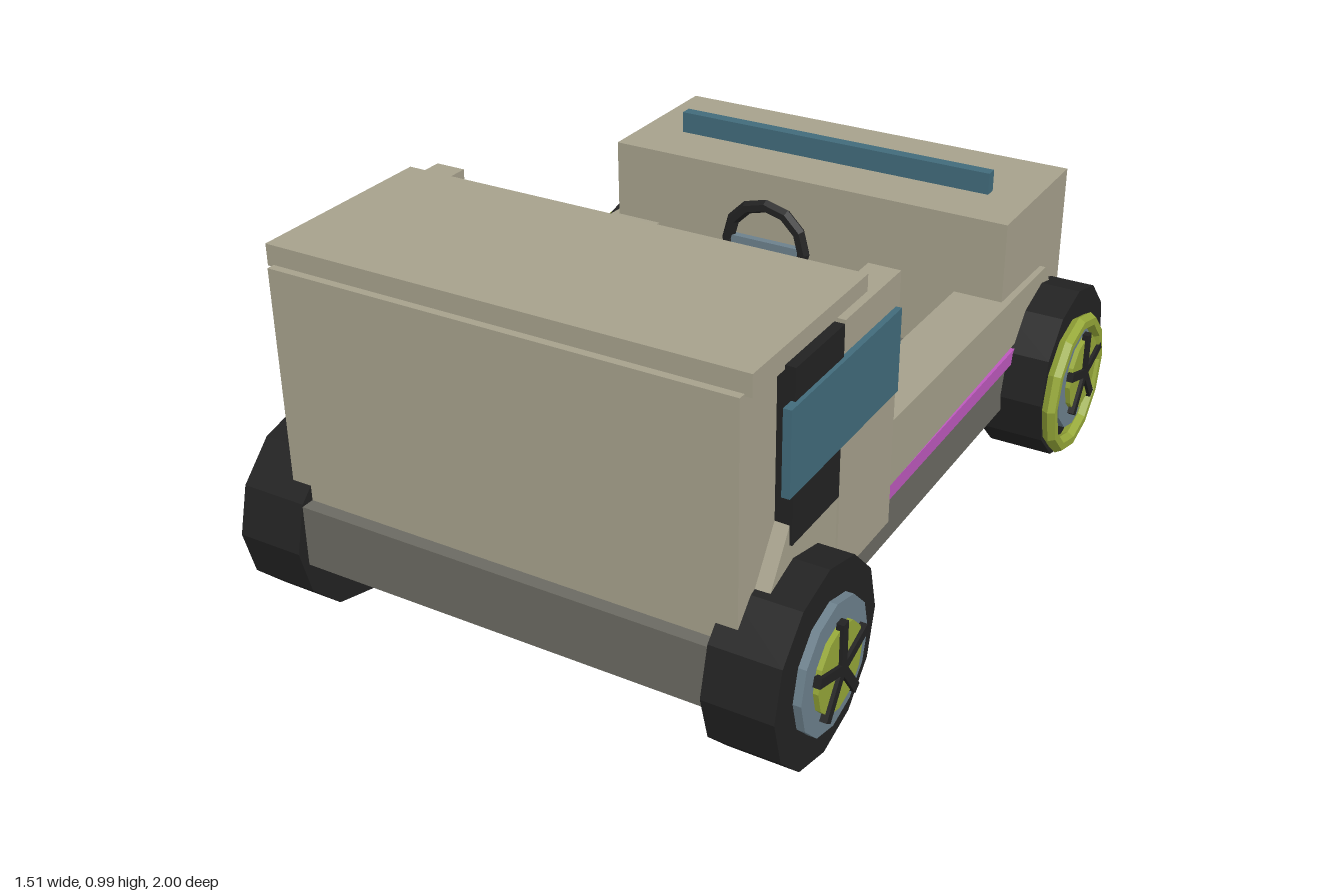
import * as THREE from 'three';

const material = (name, color) => {
  const m = new THREE.MeshStandardMaterial({ color });
  m.name = name;
  return m;
};

export function createModel() {
  const paint = material('beige paint', 0xa6a18c);
  const frame = material('chassis grey', 0x6b6a62);
  const black = material('black rubber', 0x222222);
  const glass = material('blue glass', 0x416b7b);
  const steel = material('blue grey steel', 0x6c808c);
  const lime = material('lime trim', 0x95a738);
  const magenta = material('magenta trim', 0xbd59bd);

  const model = new THREE.Group();
  model.name = 'offRoadCar';

  const add = (name, geometry, mat, parent = model) => {
    // split the faces so that every facet is flat
    const flat = geometry.index ? geometry.toNonIndexed() : geometry;
    flat.computeVertexNormals();
    const mesh = new THREE.Mesh(flat, mat);
    mesh.name = name;
    parent.add(mesh);
    return mesh;
  };
  // box given by its limits on each axis
  const box = (name, mat, [x0, x1], [y0, y1], [z0, z1], parent = model) => {
    const mesh = add(name, new THREE.BoxGeometry(x1 - x0, y1 - y0, z1 - z0), mat, parent);
    mesh.position.set((x0 + x1) / 2, (y0 + y1) / 2, (z0 + z1) / 2);
    return mesh;
  };
  const sideBox = (name, mat, side, [x0, x1], y, z) =>
    box(name, mat, side > 0 ? [x0, x1] : [-x1, -x0], y, z);

  // chassis, tall front body with roof, low rear body
  box('chassis', frame, [-0.6, 0.6], [0.2, 0.36], [-0.97, 0.97]);
  box('frontBody', paint, [-0.593, 0.593], [0.36, 0.945], [0.41, 0.935]);
  box('roof', paint, [-0.61, 0.61], [0.94, 0.993], [0.4, 0.915]);
  box('rearBody', paint, [-0.59, 0.59], [0.36, 0.755], [-0.94, -0.497]);
  box('topBar', glass, [-0.47, 0.47], [0.755, 0.815], [-0.693, -0.66]);

  // grille with bars, on the rear body
  box('grille', black, [-0.285, 0.285], [0.385, 0.525], [-0.972, -0.935]);
  for (let i = -2; i <= 2; i++) {
    box('grilleBar', steel, [i * 0.1 - 0.011, i * 0.1 + 0.011], [0.395, 0.512], [-0.985, -0.965]);
  }

  // sloping side rail profile, drawn as z against y
  const railShape = new THREE.Shape([
    [0.87, 0.385], [0.87, 0.45], [0.78, 0.58], [-0.78, 0.525], [-0.86, 0.415], [-0.86, 0.385],
  ].map(([z, y]) => new THREE.Vector2(z, y)));

  for (const side of [-1, 1]) {
    const railGeometry = new THREE.ExtrudeGeometry(railShape, { depth: 0.155, bevelEnabled: false });
    railGeometry.translate(0, 0, -0.0775).rotateY(-Math.PI / 2);
    const rail = add('sideRail', railGeometry, paint);
    rail.position.x = side * 0.54;
    rail.rotation.y = side * 0.014;

    sideBox('post', paint, side, [0.55, 0.63], [0.3, 0.952], [0.27, 0.547]);
    sideBox('windowFrame', black, side, [0.58, 0.635], [0.53, 0.95], [0.56, 0.78]);
    sideBox('sideWindow', glass, side, [0.625, 0.645], [0.665, 0.873], [0.29, 0.815]);
    sideBox('sideStrip', magenta, side, [0.58, 0.614], [0.335, 0.375], [-0.7, 0.27]);
    sideBox('lamp', magenta, side, [0.33, 0.505], [0.55, 0.63], [-0.972, -0.935]);
  }

  // seat
  box('seatCushion', black, [-0.215, 0.215], [0.36, 0.46], [-0.095, 0.39]);
  box('seatBack', black, [-0.215, 0.215], [0.44, 0.72], [0.28, 0.39]);
  box('seatPad', frame, [-0.165, 0.165], [0.48, 0.68], [0.265, 0.285]);

  // steering wheel, crossbar and column
  const wheelRim = add('steeringWheel', new THREE.TorusGeometry(0.112, 0.018, 6, 12), black);
  wheelRim.position.set(0, 0.65, -0.287);
  box('steeringCrossbar', steel, [-0.11, 0.11], [0.637, 0.663], [-0.297, -0.277]);
  const top = new THREE.Vector3(0, 0.65, -0.29);
  const foot = new THREE.Vector3(0, 0.36, -0.48);
  const column = add('steeringColumn',
    new THREE.CylinderGeometry(0.013, 0.013, top.distanceTo(foot), 8), steel);
  column.position.copy(top).lerp(foot, 0.5);
  column.quaternion.setFromUnitVectors(new THREE.Vector3(0, 1, 0), top.clone().sub(foot).normalize());

  // wheels, built outward along +x and turned for the other side
  const disc = (name, mat, radius, x0, x1, parent) => {
    const g = new THREE.CylinderGeometry(radius, radius, x1 - x0, 12);
    g.rotateZ(-Math.PI / 2).translate((x0 + x1) / 2, 0, 0);
    return add(name, g, mat, parent);
  };
  for (const side of [-1, 1]) {
    for (const end of [-1, 1]) {
      const wheel = new THREE.Group();
      wheel.name = end > 0 ? 'frontWheel' : 'rearWheel';
      wheel.position.set(0, 0.245, end * 0.76);
      wheel.rotation.y = side > 0 ? 0 : Math.PI;
      model.add(wheel);
      disc('tyre', black, 0.241, 0.54, 0.715, wheel);
      disc('rim', steel, 0.16, 0.7, 0.735, wheel);
      disc('hubDisc', lime, 0.107, 0.72, 0.748, wheel);
      disc('hubCap', black, 0.02, 0.73, 0.757, wheel);
      for (let i = 0; i < 5; i++) {
        const spoke = new THREE.BoxGeometry(0.018, 0.12, 0.024);
        spoke.translate(0.748, 0.06, 0).rotateX(i * Math.PI * 2 / 5);
        add('spoke', spoke, black, wheel);
      }
    }
    // lime ring set slightly inboard of each rear wheel centre
    const ringGeometry = new THREE.TorusGeometry(0.178, 0.021, 6, 12).rotateY(Math.PI / 2);
    const ring = add('rearWheelRing', ringGeometry, lime);
    ring.position.set(side * 0.738, 0.237, -0.706);
  }

  return model;
}
